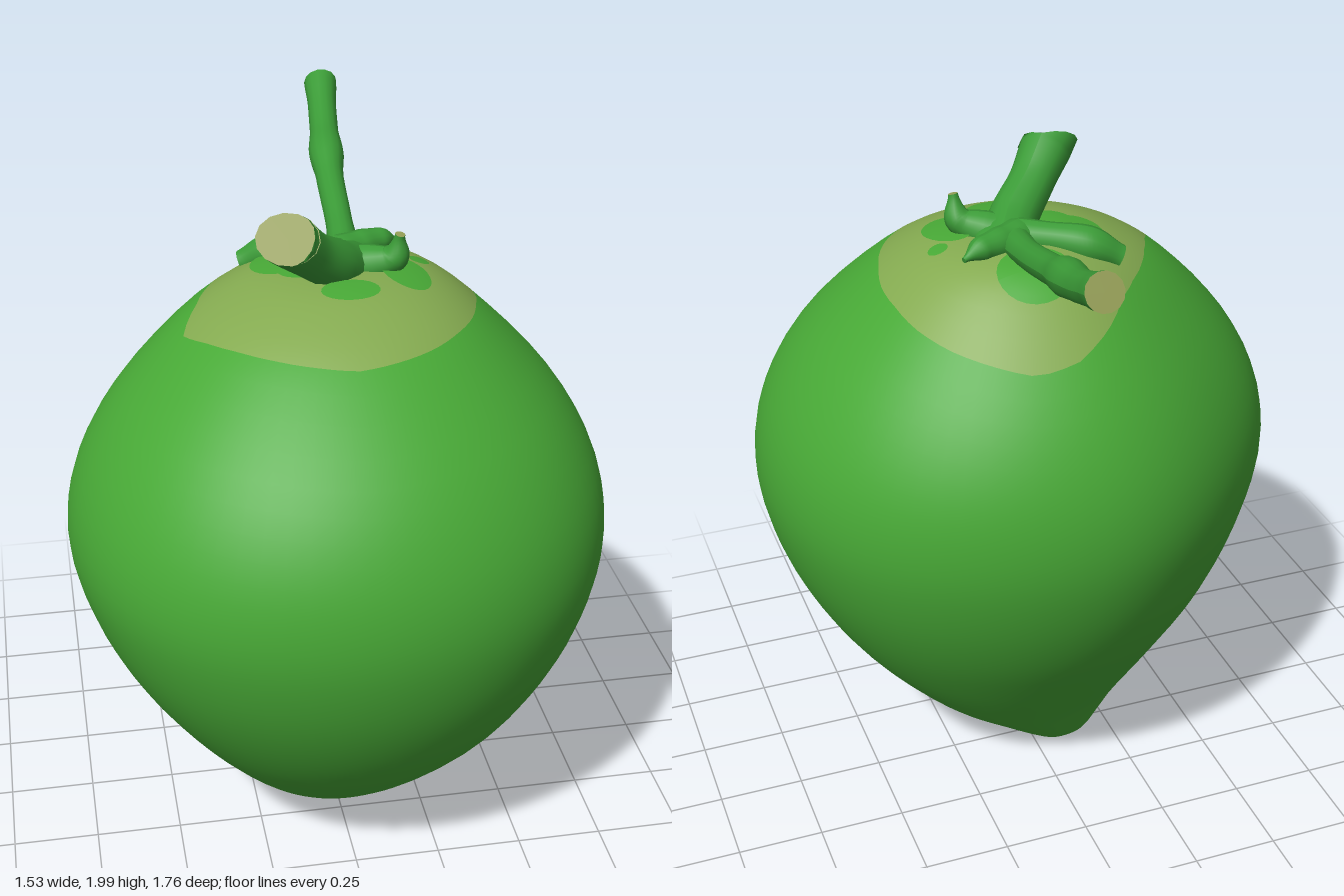
import * as THREE from 'three';

const green = new THREE.MeshStandardMaterial({ name: 'husk green', color: 0x48a936 });
const stemGreen = new THREE.MeshStandardMaterial({ name: 'stem green', color: 0x3b9b37 });
const pale = new THREE.MeshStandardMaterial({ name: 'pale crown', color: 0x84aa50 });
const cut = new THREE.MeshStandardMaterial({ name: 'cut wood', color: 0x959f57 });

// Husk stations: y, xMin, xMax, zMin, zMax
const stations = [
  [0, -0.13, -0.02, -0.05, 0.06], [0.03, -0.195, 0.055, -0.11, 0.16], [0.1, -0.26, 0.185, -0.155, 0.31],
  [0.2, -0.34, 0.33, -0.215, 0.45], [0.4, -0.49, 0.515, -0.35, 0.64], [0.6, -0.625, 0.645, -0.475, 0.77],
  [0.8, -0.72, 0.73, -0.56, 0.85], [1, -0.765, 0.765, -0.6, 0.88], [1.2, -0.73, 0.73, -0.577, 0.84],
  [1.4, -0.615, 0.615, -0.485, 0.72], [1.6, -0.42, 0.42, -0.325, 0.5], [1.69, -0.26, 0.29, -0.22, 0.33],
  [1.722, -0.13, 0.17, -0.12, 0.2], [1.722, -0.03, 0.07, -0.03, 0.07],
];
const LAST = stations.length - 1;

// Smooth cross-section at station parameter t
function section(t) {
  const i = Math.min(Math.floor(t), LAST - 1), f = t - i;
  const at = (k) => stations[Math.max(0, Math.min(LAST, k))];
  const [y, x0, x1, z0, z1] = at(i).map((b, c) => {
    const a = at(i - 1)[c], d = at(i + 1)[c], e = at(i + 2)[c];
    return b + 0.5 * f * (d - a + f * (2 * a - 5 * b + 4 * d - e + f * (3 * (b - d) + e - a)));
  });
  return { y, cx: (x0 + x1) / 2, cz: (z0 + z1) / 2, rx: (x1 - x0) / 2, rz: (z1 - z0) / 2 };
}
// Uneven oval: flatter at the back right, drawn out into a diagonal ridge at the tip
function huskPoint(t, angle) {
  const s = section(t), c = Math.cos(angle), n = Math.sin(angle);
  const tip = 1 - THREE.MathUtils.smoothstep(t, 0, 4);
  let bulge = 0.014 + (c * n > 0 ? 0.04 : -0.1) * tip;
  if (c < 0 && n < 0) bulge = 0.05 - 0.1 * THREE.MathUtils.smoothstep(t, 1, 7);
  const k = 1 + Math.sin(2 * angle) ** 2 * bulge;
  return [s.cx + s.rx * k * c, s.y, s.cz + s.rz * k * n];
}
// Station parameter where a test first becomes true on the upper husk
function search(test) {
  let lo = 8, hi = LAST;
  for (let k = 0; k < 24; k++) {
    const m = (lo + hi) / 2;
    if (test(m)) hi = m; else lo = m;
  }
  return hi;
}
function topY(x, z) {
  return section(search((t) => {
    const s = section(t);
    return ((x - s.cx) / s.rx) ** 2 + ((z - s.cz) / s.rz) ** 2 > 1;
  })).y;
}

// Uneven outline of the pale crown, as radii every 15 degrees around (0, 0.05)
const crownRadii = [
  0.41, 0.4, 0.405, 0.41, 0.42, 0.427, 0.435, 0.425, 0.418, 0.415, 0.42, 0.435,
  0.37, 0.343, 0.335, 0.335, 0.352, 0.4, 0.445, 0.465, 0.455, 0.446, 0.433, 0.417,
];
function crownEdge(angle) {
  const n = crownRadii.length;
  return search((t) => {
    const [x, , z] = huskPoint(t, angle);
    const u = ((Math.atan2(z - 0.05, x) / (Math.PI * 2) + 1) % 1) * n;
    const i = Math.floor(u) % n, f = u - Math.floor(u);
    return Math.hypot(x, z - 0.05) < crownRadii[i] * (1 - f) + crownRadii[(i + 1) % n] * f;
  });
}

// One smooth husk surface with a green body group and a pale crown group
function makeHusk() {
  const N = 72, BODY = 36, CROWN = 10, rows = BODY + CROWN;
  const pos = [], index = [];
  const edges = Array.from({ length: N }, (_, j) => crownEdge((j / N) * Math.PI * 2));
  for (let i = 0; i <= rows; i++) {
    for (let j = 0; j < N; j++) {
      const e = edges[j];
      const t = i <= BODY ? (e * i) / BODY : e + ((LAST - e) * (i - BODY)) / CROWN;
      pos.push(...huskPoint(t, (j / N) * Math.PI * 2));
    }
  }
  const bottom = pos.length / 3;
  pos.push(-0.075, 0, 0.005, 0.02, 1.722, 0.02);
  for (let j = 0; j < N; j++) index.push(bottom, j, (j + 1) % N);
  let split = 0;
  for (let i = 0; i < rows; i++) {
    if (i === BODY) split = index.length;
    for (let j = 0; j < N; j++) {
      const a = i * N + j, b = i * N + ((j + 1) % N);
      index.push(a, a + N, b, b, a + N, b + N);
    }
  }
  for (let j = 0; j < N; j++) index.push(bottom + 1, rows * N + ((j + 1) % N), rows * N + j);
  const g = new THREE.BufferGeometry();
  g.setAttribute('position', new THREE.Float32BufferAttribute(pos, 3));
  g.setIndex(index);
  g.addGroup(0, split, 0);
  g.addGroup(split, index.length - split, 1);
  g.computeVertexNormals();
  const mesh = new THREE.Mesh(g, [green, pale]);
  mesh.name = 'husk';
  return mesh;
}

// Tube with a varying radius, cut off at its tip by a plane facing cutNormal
function makeBranch(name, points, radii, endMaterial, cutNormal) {
  const group = new THREE.Group();
  group.name = name;
  const curve = new THREE.CatmullRomCurve3(points.map((p) => new THREE.Vector3(...p)));
  const SEG = 28, SIDES = 14;
  const tip = curve.getPointAt(1), tangent = curve.getTangentAt(1);
  const normal = cutNormal ? new THREE.Vector3(...cutNormal).normalize() : tangent;
  const g = new THREE.TubeGeometry(curve, SEG, 1, SIDES);
  const p = g.attributes.position, v = new THREE.Vector3();
  const rim = [];
  for (let k = 0; k < p.count; k++) {
    const ring = Math.floor(k / (SIDES + 1)), u = ring / SEG, c = curve.getPointAt(u);
    const s = u * (radii.length - 1), i = Math.min(Math.floor(s), radii.length - 2);
    const r = THREE.MathUtils.lerp(radii[i], radii[i + 1], THREE.MathUtils.smoothstep(s - i, 0, 1));
    v.fromBufferAttribute(p, k).sub(c).multiplyScalar(r);
    if (ring === SEG) v.addScaledVector(tangent, -v.dot(normal) / tangent.dot(normal));
    v.add(c);
    p.setXYZ(k, v.x, v.y, v.z);
    if (ring === SEG) rim.push(v.clone());
  }
  g.computeVertexNormals();
  const bark = new THREE.Mesh(g, stemGreen);
  bark.name = name + 'Bark';

  const fan = [];
  for (let j = 0; j < SIDES; j++) {
    const a = rim[j].clone().sub(tip), b = rim[j + 1].clone().sub(tip);
    const pair = a.cross(b).dot(normal) > 0 ? [rim[j], rim[j + 1]] : [rim[j + 1], rim[j]];
    fan.push(tip, ...pair);
  }
  const capGeometry = new THREE.BufferGeometry().setFromPoints(fan);
  capGeometry.computeVertexNormals();
  const end = new THREE.Mesh(capGeometry, endMaterial);
  end.name = name + 'End';
  group.add(bark, end);
  return group;
}

// Thin oval sepal scar draped over the crown
function makePatch(x, z, rx, rz, turn) {
  const g = new THREE.RingGeometry(0.001, 1, 24, 5);
  g.rotateX(-Math.PI / 2).scale(rx, 1, rz).rotateY(turn).translate(x, 0, z);
  const p = g.attributes.position;
  for (let k = 0; k < p.count; k++) p.setY(k, topY(p.getX(k), p.getZ(k)) + 0.005);
  g.computeVertexNormals();
  const mesh = new THREE.Mesh(g, green);
  mesh.name = 'sepalPatch';
  return mesh;
}

export function createModel() {
  const model = new THREE.Group();
  model.name = 'greenCoconut';
  model.add(makeHusk());

  // Long stalk with a knot halfway, and a thick stub cut at a slant
  model.add(makeBranch('longStalk',
    [[0.04, 1.71, 0.04], [0.06, 1.735, -0.1], [0.07, 1.757, -0.22], [0.08, 1.8, -0.4], [0.09, 1.835, -0.52],
      [0.105, 1.87, -0.65], [0.13, 1.95, -0.86]],
    [0.06, 0.043, 0.039, 0.04, 0.041, 0.052, 0.043, 0.043, 0.05], cut, [0.05, 0.4, -0.92]));
  model.add(makeBranch('cutStub',
    [[0.07, 1.69, 0], [0.01, 1.74, 0.09], [-0.07, 1.805, 0.165], [-0.145, 1.882, 0.235]],
    [0.075, 0.07, 0.066, 0.074], cut, [-0.1, 0.68, 0.73]));

  // Withered flower arms around the stalk base
  const arms = [
    ['leftBackArm', [[0.04, 1.725, 0], [-0.07, 1.725, -0.07], [-0.15, 1.71, -0.11], [-0.22, 1.675, -0.13]], [0.05, 0.045, 0.052, 0.035], cut],
    ['rightBackArm', [[0.04, 1.725, -0.02], [0.12, 1.735, -0.06], [0.17, 1.735, -0.08], [0.22, 1.72, -0.1]], [0.055, 0.045, 0.035, 0.008], stemGreen],
    ['rightFrontArm', [[0.03, 1.71, 0.02], [0.12, 1.73, 0.07], [0.17, 1.755, 0.095], [0.18, 1.825, 0.11]], [0.06, 0.055, 0.04, 0.014], cut],
  ];
  for (const arm of arms) model.add(makeBranch(...arm));

  // Raised hub joining the stalk, stub and arms
  const hub = new THREE.Mesh(new THREE.SphereGeometry(1, 24, 12), stemGreen);
  hub.name = 'stalkHub';
  hub.scale.set(0.1, 0.045, 0.09);
  hub.position.set(0.05, 1.72, 0.01);
  model.add(hub);

  const patches = [
    [0.05, -0.19, 0.105, 0.09, 0], [0.195, 0.12, 0.065, 0.095, 0.2], [0.025, 0.22, 0.08, 0.05, 0],
    [-0.14, 0.0, 0.075, 0.085, 0.2], [-0.08, 0.07, 0.07, 0.06, 0], [0.255, 0.02, 0.028, 0.026, 0],
  ];
  for (const patch of patches) model.add(makePatch(...patch));
  return model;
}
